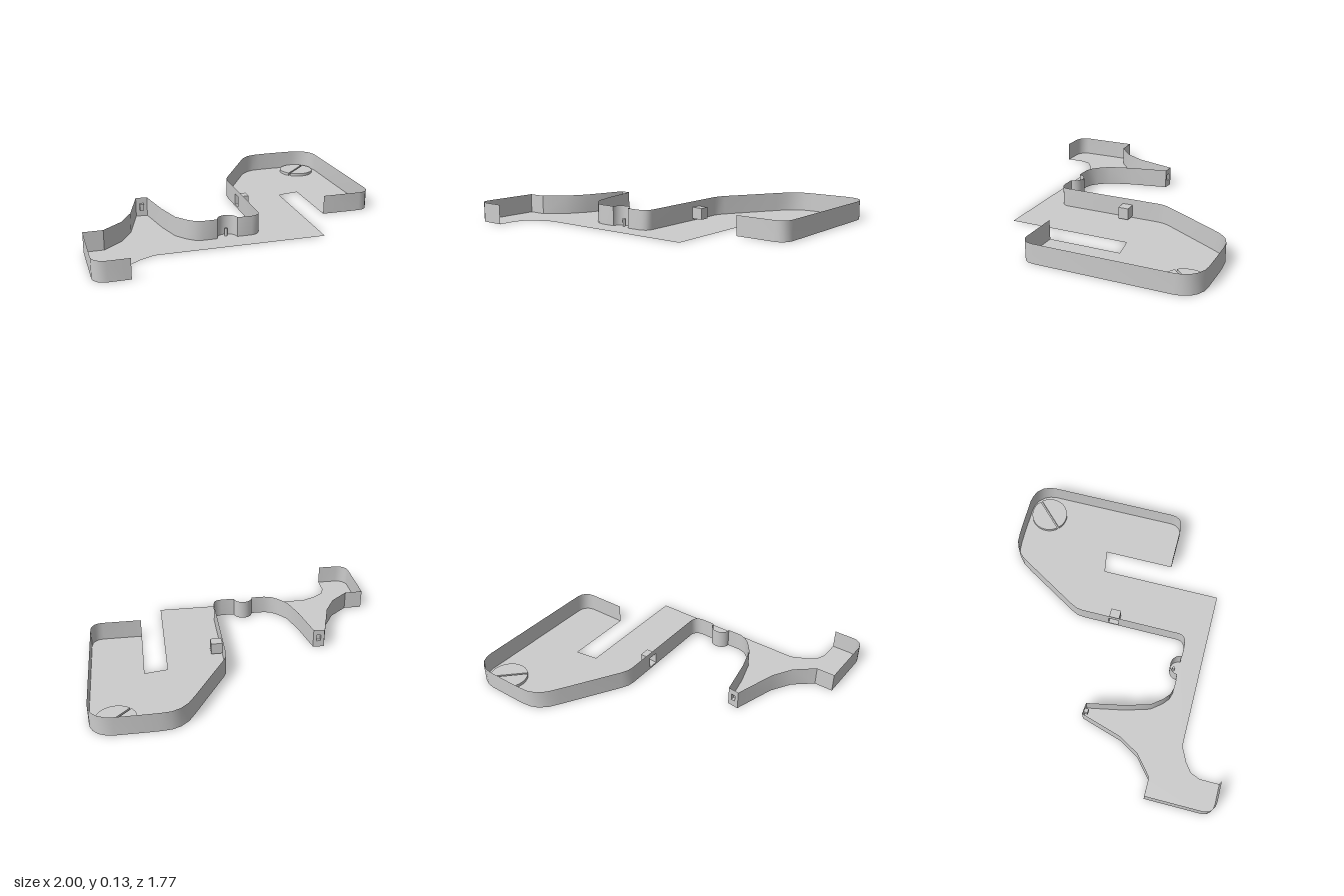
import * as THREE from 'three';
import { toCreasedNormals } from 'three/addons/utils/BufferGeometryUtils.js';

const H = 0.13; // wall height
const material = new THREE.MeshStandardMaterial({ color: 0xcccccc, side: THREE.DoubleSide });

function mesh(geometry, name) {
  const m = new THREE.Mesh(geometry, material);
  m.name = name;
  return m;
}

// Thin upright ribbon following a list of [x, z] points
function wall(points, name) {
  const g = new THREE.PlaneGeometry(1, 1, points.length - 1, 1);
  const p = g.attributes.position;
  points.forEach(([x, z], i) => {
    p.setXYZ(i, x, H, z);
    p.setXYZ(i + points.length, x, 0, z);
  });
  return mesh(toCreasedNormals(g, 0.6), name);
}

// Flat wall panel from a to b, with a rectangular pocket sunk inwards
function pocketPanel(a, b, [u0, u1, y0, y1], depth, name) {
  const group = new THREE.Group();
  group.name = name;
  const dx = b[0] - a[0], dz = b[1] - a[1], len = Math.hypot(dx, dz);
  const rect = (x0, x1, lo, hi) => [[x0, lo], [x1, lo], [x1, hi], [x0, hi]].map(q => new THREE.Vector2(...q));
  const shape = new THREE.Shape(rect(0, len, 0, H));
  shape.holes.push(new THREE.Path(rect(u0, u1, y0, y1)));
  group.add(mesh(new THREE.ShapeGeometry(shape), name + 'Face'));

  // box without its outer face
  const box = new THREE.BoxGeometry(u1 - u0, y1 - y0, depth);
  box.setIndex(Array.from(box.index.array).slice(0, 30));
  box.translate((u0 + u1) / 2, (y0 + y1) / 2, depth / 2);
  group.add(mesh(box, name + 'Pocket'));
  group.position.set(a[0], 0, a[1]);
  group.rotation.y = Math.atan2(-dz, dx);
  return group;
}

export function createModel() {
  const model = new THREE.Group();
  model.name = 'walledTray';

  // Foot, then up the near side of the spike
  const footRun = [
    [-0.785, 0.88], [-0.92, 0.88], [-0.95, 0.875], [-0.975, 0.86], [-0.993, 0.837], [-1, 0.81],
    [-1, 0.425], [-0.875, 0.425], [-0.75, 0.32], [-0.67, 0.185], [-0.585, -0.097],
  ];
  // Down the spike, around the small bump, up to the side pocket
  const middleRun = [
    [-0.51, -0.09], [-0.46, 0.16], [-0.41, 0.325], [-0.355, 0.395], [-0.31, 0.433], [-0.26, 0.447], [-0.172, 0.447],
  ];
  for (let i = 0; i <= 16; i++) {
    const t = Math.PI * (1 - i / 16);
    middleRun.push([-0.1 + 0.065 * Math.cos(t), 0.445 - 0.06 * Math.sin(t)]);
  }
  middleRun.push([-0.028, 0.447], [0.06, 0.447], [0.085, 0.442], [0.105, 0.43], [0.117, 0.413], [0.122, 0.39], [0.122, 0.02]);
  // Sloped shoulder, rounded top and outer arm
  const armRun = [
    [0.122, -0.16], [0.122, -0.29], [0.128, -0.335], [0.15, -0.38], [0.365, -0.74], [0.41, -0.81], [0.46, -0.855],
    [0.515, -0.878], [0.58, -0.884], [0.66, -0.886], [0.85, -0.886], [0.895, -0.88], [0.94, -0.86], [0.975, -0.825],
    [0.993, -0.785], [1, -0.74], [1, 0.14], [0.993, 0.175], [0.975, 0.202], [0.95, 0.217], [0.92, 0.222], [0.655, 0.222],
  ];
  // Edges without a wall: slot, front edge and the inside of the foot
  const openRun = [
    [0.655, -0.26], [0.503, -0.235], [0.503, 0.592], [-0.6, 0.592], [-0.7, 0.64], [-0.76, 0.685], [-0.785, 0.75],
  ];

  const outline = [...footRun, ...middleRun, ...armRun, ...openRun].map(([x, z]) => new THREE.Vector2(x, -z));
  const floor = mesh(new THREE.ShapeGeometry(new THREE.Shape(outline)), 'floor');
  floor.rotation.x = -Math.PI / 2;
  model.add(floor);

  model.add(wall(footRun, 'footWall'), wall(middleRun, 'middleWall'), wall(armRun, 'armWall'));
  model.add(pocketPanel([-0.585, -0.097], [-0.51, -0.09], [0.024, 0.052, 0.045, 0.09], 0.026, 'spikeTip'));
  model.add(pocketPanel([0.122, 0.02], [0.122, -0.16], [0.055, 0.125, 0.012, 0.09], 0.076, 'sidePanel'));

  // Small peg inside the bump
  const peg = mesh(new THREE.CylinderGeometry(0.009, 0.009, 0.05, 16), 'peg');
  peg.position.set(-0.1, 0.025, 0.412);
  model.add(peg);

  // Slotted round disc: two half discs with a narrow gap
  const disc = new THREE.Group();
  disc.name = 'slottedDisc';
  for (const turn of [0, Math.PI]) {
    const half = new THREE.Shape();
    const t = Math.asin(0.006 / 0.127);
    half.absarc(0, 0, 0.127, t, Math.PI - t, false);
    const g = new THREE.ExtrudeGeometry(half, { depth: 0.02, bevelEnabled: false, curveSegments: 32 });
    g.rotateX(-Math.PI / 2);
    const part = mesh(toCreasedNormals(g, 0.6), 'halfDisc');
    part.rotation.y = turn;
    disc.add(part);
  }
  disc.position.set(0.84, 0, -0.748);
  disc.rotation.y = Math.PI / 4;
  model.add(disc);

  return model;
}
